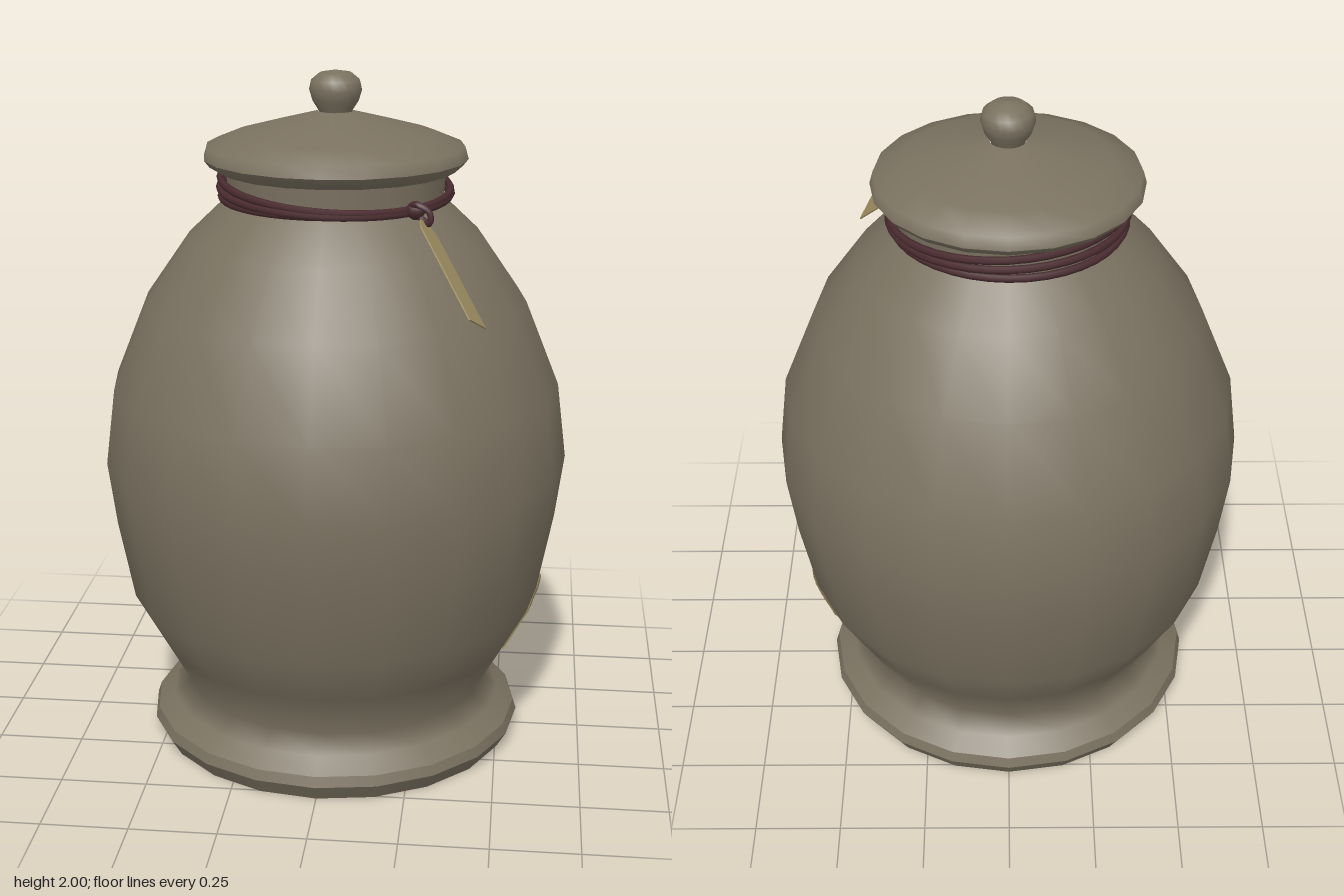
import * as THREE from 'three';

const SEG = 20;
const clay = new THREE.MeshStandardMaterial({ name: 'clay', color: 0x7a7160 });
const cord = new THREE.MeshStandardMaterial({ name: 'cord', color: 0x4a2c30 });
const paper = new THREE.MeshStandardMaterial({ name: 'paper', color: 0xa08f62, side: THREE.DoubleSide });

// Main wall of the urn as [radius, height], from foot to shoulder
const WALL = [[0.55, 0.08], [0.5, 0.12], [0.45, 0.165], [0.53, 0.31], [0.61, 0.455], [0.655, 0.69],
  [0.68, 0.88], [0.652, 1.1], [0.553, 1.345], [0.425, 1.53], [0.31, 1.64]];

// Each section is smooth in itself; the joins between sections stay sharp
function turned(name, sections) {
  const group = new THREE.Group();
  group.name = name;
  sections.forEach((points, i) => {
    const geo = new THREE.LatheGeometry(points.map(p => new THREE.Vector2(...p)), SEG);
    const mesh = new THREE.Mesh(geo, clay);
    mesh.name = `${name}Section${i + 1}`;
    group.add(mesh);
  });
  return group;
}

function tube(name, points, closed, radius, segments) {
  const curve = new THREE.CatmullRomCurve3(points.map(p => new THREE.Vector3(...p)), closed);
  const mesh = new THREE.Mesh(new THREE.TubeGeometry(curve, segments, radius, 6, closed), cord);
  mesh.name = name;
  return mesh;
}

// Loop of cord round the neck, leaning by tx along x and tz along z
function cordLoop(name, r, y, tx, tz) {
  const points = [];
  for (let i = 0; i < 20; i++) {
    const a = i / 20 * Math.PI * 2, x = Math.sin(a) * r, z = Math.cos(a) * r;
    points.push([x, y + tx * x + tz * z, z]);
  }
  return tube(name, points, true, 0.011, 40);
}

// x of the faceted wall on the +x side at a given height and z
function wallX(y, z) {
  const i = WALL.findIndex((p, k) => k > 2 && p[1] >= y);
  const [r0, y0] = WALL[i - 1], [r1, y1] = WALL[i];
  const r = r0 + (r1 - r0) * (y - y0) / (y1 - y0);
  const step = Math.PI * 2 / SEG;
  const facet = Math.floor(Math.asin(Math.min(1, Math.abs(z) / r)) / step);
  const a = facet * step, b = a + step;
  const t = (Math.abs(z) - r * Math.sin(a)) / (r * (Math.sin(b) - Math.sin(a)));
  return r * (Math.cos(a) + (Math.cos(b) - Math.cos(a)) * t);
}

// Worn paper patch that follows the wall
function makeLabel() {
  const geo = new THREE.PlaneGeometry(1, 1, 28, 10);
  const pos = geo.attributes.position;
  for (let i = 0; i < pos.count; i++) {
    const u = pos.getX(i) + 0.5, v = pos.getY(i) + 0.5;
    const corner = 0.03 * Math.pow(Math.abs(2 * u - 1), 14);
    const bottom = 0.298 + corner + 0.004 * Math.sin(u * 17);
    const top = 0.49 - corner * 0.6 + 0.004 * Math.sin(u * 23);
    const y = bottom + (top - bottom) * v;
    const left = 0.155 + 0.02 * v + 0.004 * Math.sin(v * 9);
    const right = -0.25 - 0.07 * v + 0.006 * Math.sin(v * 11);
    const z = left + (right - left) * u;
    pos.setXYZ(i, wallX(y, z) + 0.007, y, z);
  }
  geo.computeVertexNormals();
  const mesh = new THREE.Mesh(geo, paper);
  mesh.name = 'paperLabel';
  return mesh;
}

// Hanging tag with clipped upper corners
function makeTag() {
  const origin = new THREE.Vector3(0.405, 1.425, 0.525);
  const across = new THREE.Vector3(0.04, -0.045, -0.085);
  const up = new THREE.Vector3(-0.15, 0.212, -0.208);
  const normal = across.clone().cross(up).normalize();
  const shape = new THREE.Shape([[0, 0], [1, 0], [1, 0.95], [0.72, 1.06], [0.3, 1.06], [0, 0.95]]
    .map(p => new THREE.Vector2(...p)));
  const geo = new THREE.ExtrudeGeometry(shape, { depth: 0.004, bevelEnabled: false });
  geo.applyMatrix4(new THREE.Matrix4().makeBasis(across, up, normal).setPosition(origin));
  geo.computeVertexNormals();
  const mesh = new THREE.Mesh(geo, paper);
  mesh.name = 'hangingTag';
  return mesh;
}

export function createModel() {
  const model = new THREE.Group();
  model.name = 'urn';

  // Foot, wall and neck
  model.add(turned('body', [
    [[0, 0], [0.53, 0]],
    [[0.53, 0], [0.56, 0.05]],
    [[0.56, 0.05], [0.55, 0.08]],
    WALL,
    [[0.31, 1.64], [0.315, 1.74]],
  ]));

  // Lid, slightly oval, with a round knob
  const lid = turned('lid', [
    [[0, 1.72], [0.335, 1.72]],
    [[0.335, 1.72], [0.362, 1.735], [0.378, 1.755]],
    [[0.378, 1.755], [0.368, 1.79], [0.29, 1.822], [0.175, 1.853], [0.05, 1.885]],
  ]);
  lid.scale.z = 0.95;
  model.add(lid);
  model.add(turned('knob', [
    [[0.045, 1.875], [0.05, 1.89], [0.066, 1.915], [0.075, 1.945], [0.069, 1.972], [0.045, 1.992], [0, 2]],
  ]));

  // Cord loops and knot
  model.add(cordLoop('upperCord', 0.328, 1.685, -0.06, -0.075));
  model.add(cordLoop('middleCord', 0.33, 1.665, -0.03, -0.05));
  model.add(cordLoop('lowerCord', 0.326, 1.65, 0.01, -0.008));
  const knot = new THREE.Mesh(new THREE.SphereGeometry(0.026, 10, 8), cord);
  knot.name = 'knot';
  knot.position.set(0.245, 1.655, 0.245);
  model.add(knot);
  model.add(tube('knotLoop', [[0.23, 1.66, 0.24], [0.25, 1.675, 0.27], [0.285, 1.655, 0.275],
    [0.285, 1.625, 0.275], [0.26, 1.635, 0.25]], true, 0.009, 20));

  model.add(makeTag(), makeLabel());
  return model;
}
